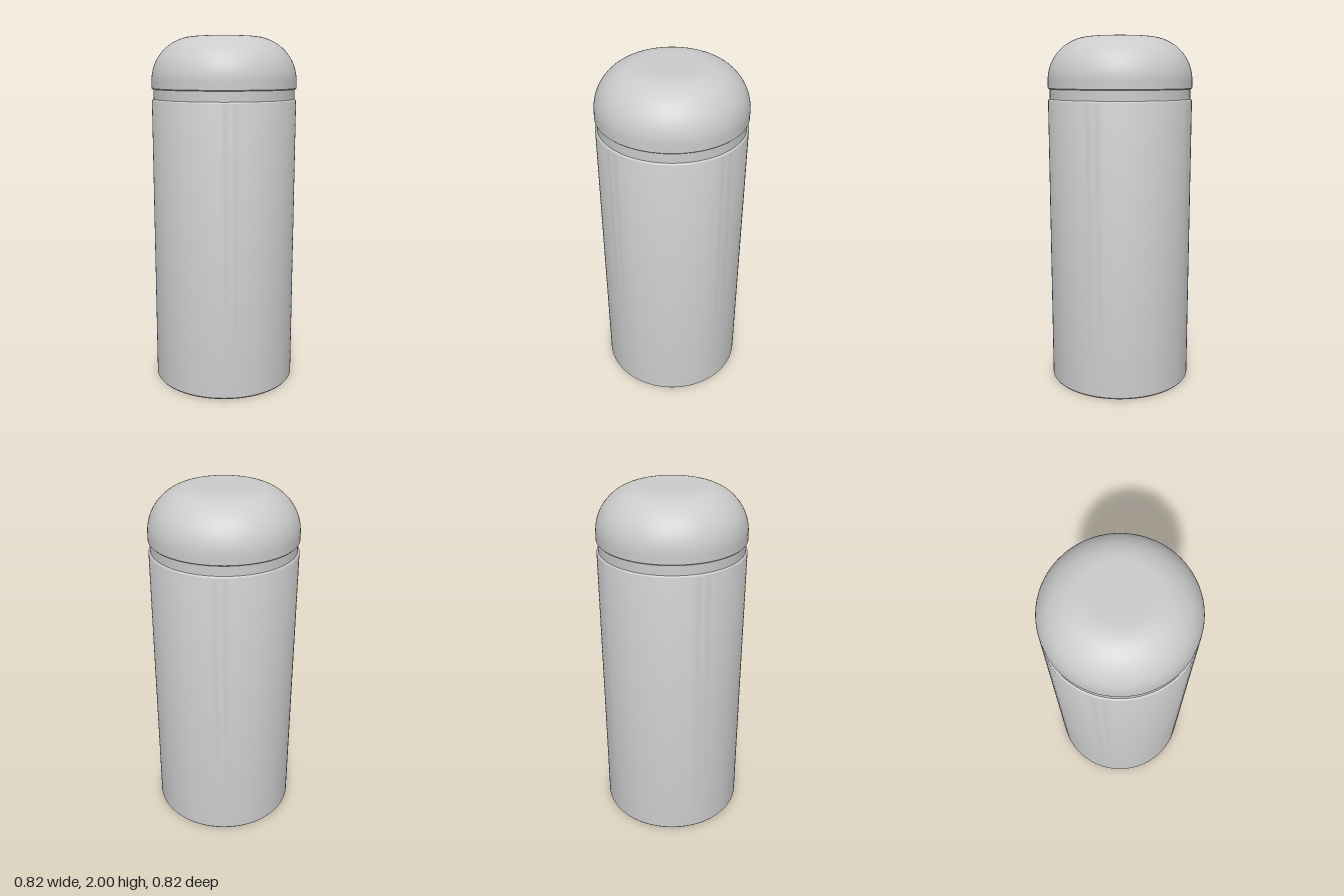
import * as THREE from 'three';
import { toCreasedNormals } from 'three/addons/utils/BufferGeometryUtils.js';

const RADIUS = 0.41;
const material = new THREE.MeshStandardMaterial({ color: 0xcccccc });

// Turned part from a profile of [radius, height] pairs, bottom to top
function turned(name, profile) {
  const points = profile.map(([r, y]) => new THREE.Vector2(r, y));
  const geometry = toCreasedNormals(new THREE.LatheGeometry(points, 96), Math.PI / 5);
  const mesh = new THREE.Mesh(geometry, material);
  mesh.name = name;
  return mesh;
}

// Quarter-round points from angle 0 (side) to 90 degrees (top)
function roundOver(cx, cy, rx, ry, steps) {
  return Array.from({ length: steps + 1 }, (_, i) => {
    const a = (i / steps) * Math.PI / 2;
    return [cx + rx * Math.cos(a), cy + ry * Math.sin(a)];
  });
}

export function createModel() {
  const group = new THREE.Group();
  group.name = 'container';

  // Straight body with a small edge at the foot and a softened shoulder
  group.add(turned('body', [
    [0, 0], [RADIUS - 0.006, 0], [RADIUS, 0.008],
    ...roundOver(RADIUS - 0.012, 1.643, 0.012, 0.012, 5),
    [0.38, 1.655], [0, 1.655],
  ]));

  // Recessed neck between body and cap
  group.add(turned('neck', [[0.4, 1.645], [0.4, 1.715]]));

  // Domed cap with a flat crown
  group.add(turned('cap', [
    [0, 1.71], [RADIUS - 0.005, 1.71], [RADIUS, 1.715],
    ...roundOver(0.16, 1.755, RADIUS - 0.16, 0.245, 24),
    [0, 2],
  ]));

  return group;
}
